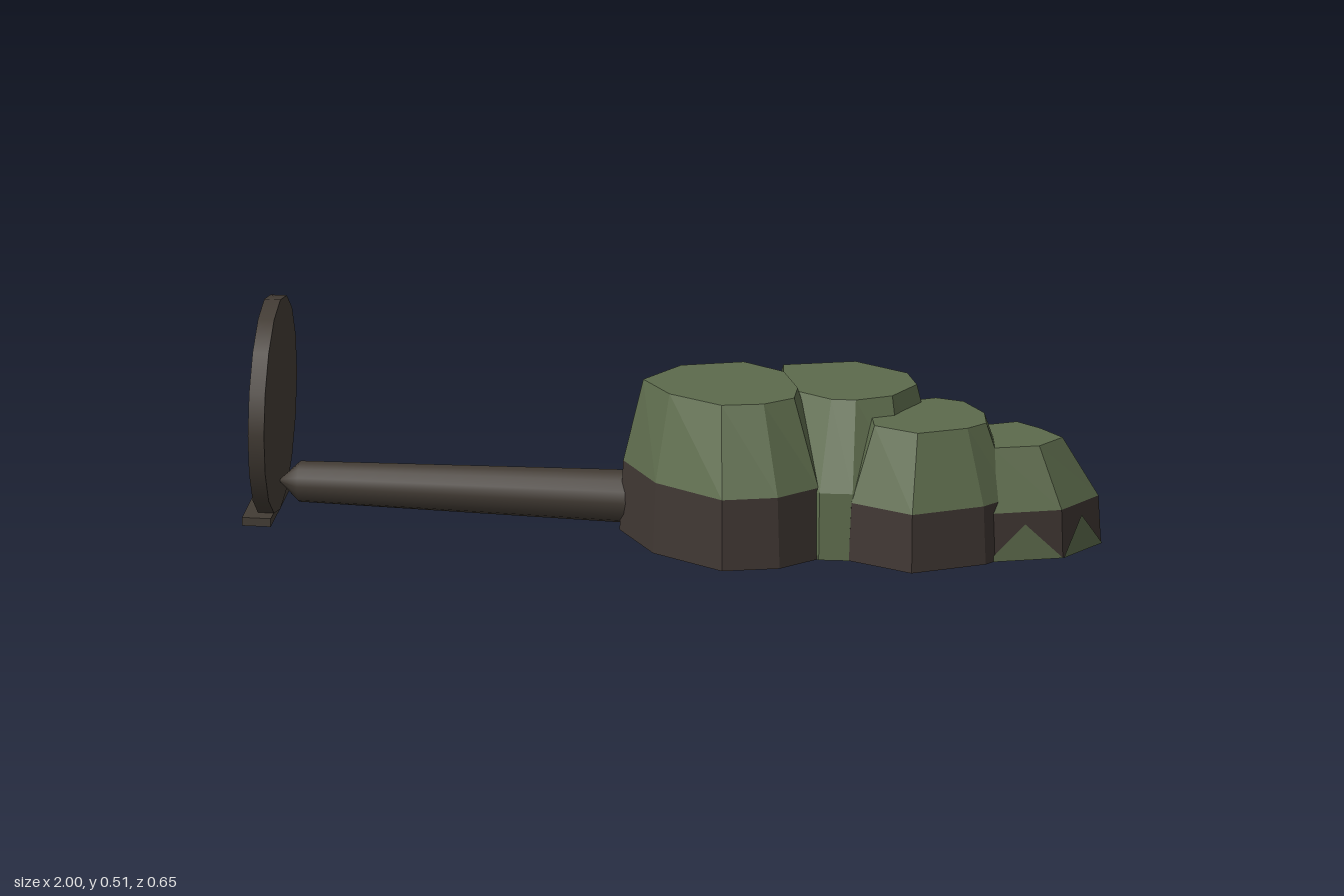
import * as THREE from 'three';

const leafGreen = new THREE.MeshStandardMaterial({ name: 'leafGreen', color: 0x5d6b4c });
const skirtBrown = new THREE.MeshStandardMaterial({ name: 'skirtBrown', color: 0x403733 });
const barkBrown = new THREE.MeshStandardMaterial({ name: 'barkBrown', color: 0x433c35 });
leafGreen.flatShading = skirtBrown.flatShading = true;
leafGreen.side = THREE.DoubleSide;

function meshFrom(name, points, material) {
  const geometry = new THREE.BufferGeometry().setFromPoints(points);
  geometry.computeVertexNormals();
  const mesh = new THREE.Mesh(geometry, material);
  mesh.name = name;
  return mesh;
}

// Wall of triangles between two rings; inward flips the faces
function wall(lower, upper, inward = false) {
  return lower.flatMap((a, i) => {
    const j = (i + 1) % lower.length;
    const b = lower[j], c = upper[j], d = upper[i];
    return inward ? [a, b, c, a, c, d] : [a, d, c, a, c, b];
  });
}

// outline: ground corners [x, z], clockwise from above; the crown is the same
// outline shrunk by scale around crown. wedges: [facet, share of skirt height]
function makeClump({ outline, rim, top, crown, scale, brownSkirt, wedges }) {
  const group = new THREE.Group();
  group.name = 'foliageClump';
  const ground = outline.map(([x, z]) => new THREE.Vector3(x, 0, z));
  const centre = new THREE.Box3().setFromPoints(ground).getCenter(new THREE.Vector3());
  const crownCentre = new THREE.Vector3(crown[0], top, crown[1]);
  const shrink = new THREE.Vector3(scale[0], 0, scale[1]);
  const shoulder = ground.map((p) => p.clone().lerp(centre, 0.035).setY(rim));
  const crownRing = ground.map((p) => p.clone().sub(centre).multiply(shrink).add(crownCentre));

  // Sloping leaves and flat crown
  const leaves = wall(shoulder, crownRing);
  crownRing.forEach((p, i) => leaves.push(crownCentre, crownRing[(i + 1) % crownRing.length], p));
  group.add(meshFrom('leaves', leaves, leafGreen));

  // Lower skirt, open underneath; brown ones have a green lining
  const skirt = wall(ground, shoulder);
  group.add(meshFrom('skirt', skirt, brownSkirt ? skirtBrown : leafGreen));
  if (brownSkirt) {
    const lining = ground.map((p) => p.clone().lerp(centre, 0.01));
    const liningTop = shoulder.map((p) => p.clone().lerp(centre.clone().setY(rim), 0.01));
    group.add(meshFrom('skirtLining', wall(lining, liningTop, true), leafGreen));
  }

  // Green wedges rising from the ground over the skirt
  for (const [i, share] of wedges) {
    const j = (i + 1) % ground.length;
    const a = ground[i], b = ground[j];
    const apex = a.clone().lerp(b, 0.5).lerp(shoulder[i].clone().lerp(shoulder[j], 0.5), share);
    const outward = new THREE.Vector3(b.z - a.z, 0, a.x - b.x).setLength(0.003);
    const wedge = meshFrom('leafWedge', [a, apex, b], leafGreen);
    wedge.position.copy(outward);
    group.add(wedge);
  }
  return group;
}

export function createModel() {
  const model = new THREE.Group();
  model.name = 'fallenTree';

  // Upright root disc and its foot
  const disc = new THREE.Mesh(new THREE.CylinderGeometry(0.2555, 0.2555, 0.038, 16), barkBrown);
  disc.name = 'rootDisc';
  disc.rotation.z = Math.PI / 2;
  disc.position.set(-0.95, 0.2555, 0);
  model.add(disc);

  const foot = new THREE.Mesh(new THREE.BoxGeometry(0.068, 0.02, 0.285), barkBrown);
  foot.name = 'discFoot';
  foot.position.set(-0.966, 0.01, 0);
  model.add(foot);

  // Lying trunk with pointed ends
  const profile = [[0, -0.935], [0.048, -0.885], [0.062, -0.12], [0.068, 0.80], [0, 0.88]];
  const trunk = new THREE.Mesh(
    new THREE.LatheGeometry(profile.map(([r, x]) => new THREE.Vector2(r, x)), 14), barkBrown);
  trunk.name = 'trunk';
  trunk.rotation.z = -Math.PI / 2;
  trunk.position.y = 0.07;
  model.add(trunk);

  // Four clumps, shrinking towards the tip of the tree
  model.add(makeClump({
    outline: [[-.125, .04], [-.03, -.16], [.16, -.24], [.30, -.14], [.37, .06], [.375, .19], [.29, .285], [.16, .325], [-.02, .21]],
    rim: 0.17, top: 0.368, crown: [.115, .035], scale: [.74, .61], brownSkirt: true, wedges: [[1, 0.98]],
  }));
  model.add(makeClump({
    outline: [[.16, -.235], [.385, -.325], [.57, -.20], [.62, -.05], [.56, .12], [.45, .20], [.37, .205], [.20, .08]],
    rim: 0.16, top: 0.355, crown: [.395, -.07], scale: [.72, .57], brownSkirt: false, wedges: [],
  }));
  model.add(makeClump({
    outline: [[.40, .02], [.48, -.12], [.60, -.195], [.70, -.165], [.79, -.03], [.815, .10], [.76, .18], [.60, .275], [.44, .20]],
    rim: 0.14, top: 0.313, crown: [.605, .04], scale: [.68, .6], brownSkirt: true, wedges: [],
  }));
  model.add(makeClump({
    outline: [[.66, -.02], [.70, -.16], [.80, -.215], [.90, -.14], [1, -.03], [.93, .10], [.76, .16]],
    rim: 0.115, top: 0.255, crown: [.805, -.022], scale: [.62, .57], brownSkirt: true,
    wedges: [[2, 0.3], [3, 0.12], [4, 0.75], [5, 0.75]],
  }));
  return model;
}
